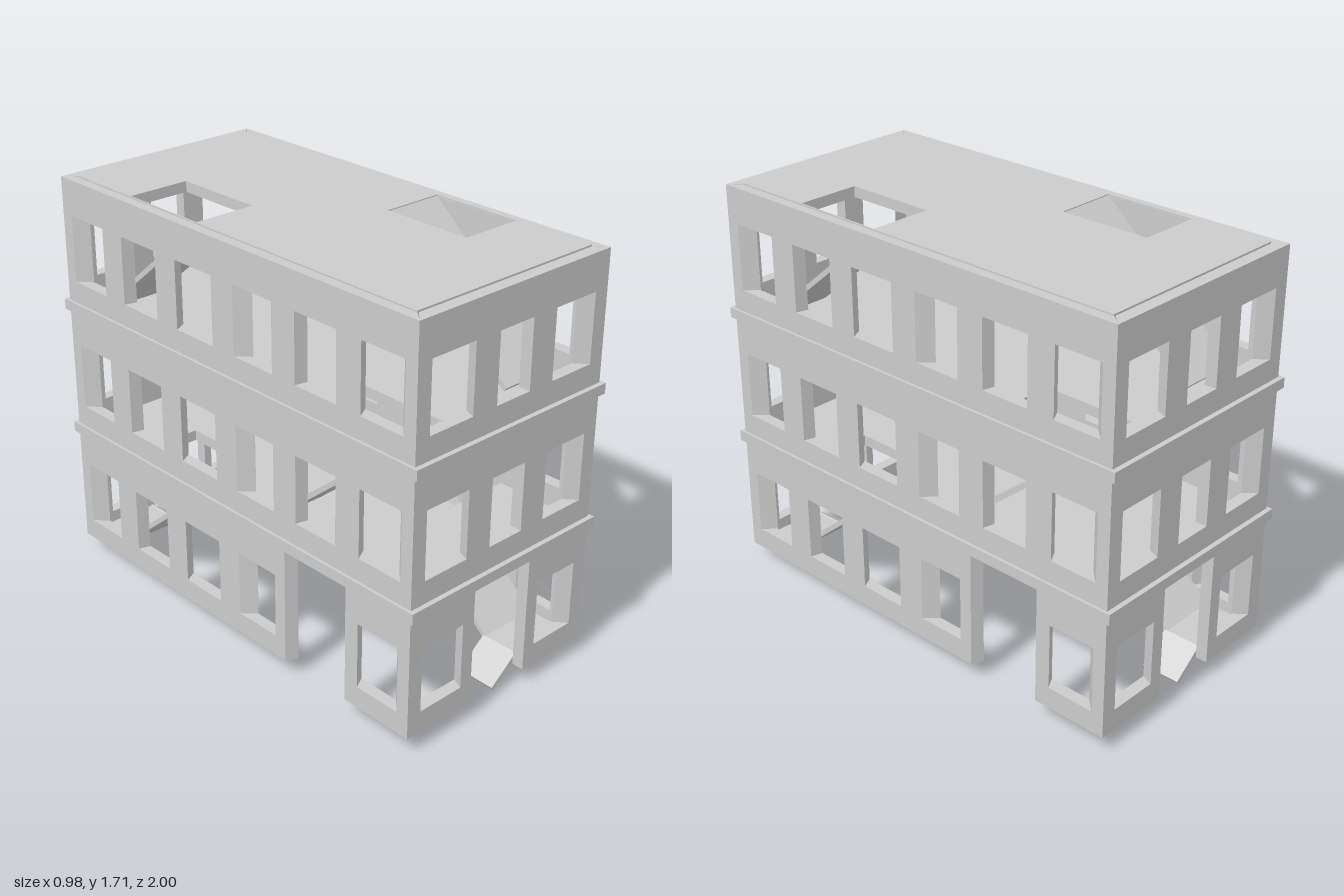
import * as THREE from 'three';

const mat = new THREE.MeshStandardMaterial({ color: 0xcccccc, flatShading: true });
const BASE = 0.07, TOP = 1.7, THICK = 0.05;
const STOREY_WINDOWS = [[0.16, 0.435], [0.71, 0.99], [1.27, 1.55]];

function mesh(name, geometry) {
  const m = new THREE.Mesh(geometry, mat);
  m.name = name;
  return m;
}

function rectPath(x0, x1, y0, y1, Type = THREE.Path) {
  return new Type([[x0, y0], [x1, y0], [x1, y1], [x0, y1]].map(p => new THREE.Vector2(...p)));
}

// Wall with a doorway notch, window holes and splayed reveals; outer face on z = 0
function wall(name, halfWidth, door, columns, splay) {
  const pts = [[-halfWidth, BASE], [door[0], BASE], [door[0], 0.57], [door[1], 0.57],
    [door[1], BASE], [halfWidth, BASE], [halfWidth, TOP], [-halfWidth, TOP]];
  const shape = new THREE.Shape(pts.map(p => new THREE.Vector2(...p)));
  STOREY_WINDOWS.forEach(([y0, y1], storey) => {
    for (const [x0, x1] of columns) {
      const atDoor = x0 < door[1] && x1 > door[0];
      if (storey > 0 || !atDoor) shape.holes.push(rectPath(x0, x1, y0, y1));
    }
  });
  const geo = new THREE.ExtrudeGeometry(shape, { depth: THICK, bevelEnabled: false });
  geo.translate(0, 0, -THICK);
  const pos = geo.attributes.position;
  for (let i = 0; i < pos.count; i++) {
    if (pos.getZ(i) < -THICK / 2) pos.setX(i, splay(pos.getX(i)));
  }
  geo.computeVertexNormals();
  return mesh(name, geo);
}

// Horizontal slab with a stair opening on each side, mirrored by a half turn
function slab(name, hx, hz, y0, y1, [x0, x1, z0, z1]) {
  const shape = rectPath(-hx, hx, -hz, hz, THREE.Shape);
  shape.holes.push(rectPath(x0, x1, -z1, -z0), rectPath(-x1, -x0, z0, z1));
  const geo = new THREE.ExtrudeGeometry(shape, { depth: y1 - y0, bevelEnabled: false });
  geo.rotateX(-Math.PI / 2).translate(0, y0, 0);
  return mesh(name, geo);
}

// Sloping stair flight along z
function flight(name, z0, y0, z1, y1) {
  const m = mesh(name, new THREE.BoxGeometry(0.265, 0.02, Math.hypot(z1 - z0, y1 - y0)));
  m.position.set(0.3, (y0 + y1) / 2, (z0 + z1) / 2);
  m.rotation.x = -Math.atan2(y1 - y0, z1 - z0);
  return m;
}

// One end wall, one long wall and one staircase
function buildHalf() {
  const half = new THREE.Group();

  const endWall = wall('endWall', 0.48, [-0.148, 0.148],
    [[-0.415, -0.205], [-0.085, 0.085], [0.205, 0.415]],
    x => Math.abs(x) > 0.17 ? x * 0.9 : x);
  endWall.position.z = 0.98;

  const columns = [];
  for (const [a, b] of [[0.06, 0.27], [0.39, 0.6], [0.72, 0.925]]) columns.push([a, b], [-b, -a]);
  const sideWall = wall('sideWall', 0.98, [0.325, 0.655], columns, x => {
    const c = Math.sign(x) * 0.49;
    return c + (x - c) * 0.88;
  });
  sideWall.rotation.y = Math.PI / 2;
  sideWall.position.x = 0.48;

  // Entry ramp turns onto a small landing, then three flights climb to the roof
  const entry = mesh('entryRamp', new THREE.BoxGeometry(0.165, 0.02, 0.165));
  entry.position.set(0.104, 0.056, 0.848);
  entry.rotation.z = Math.atan2(0.09, 0.115);
  const landing = mesh('stairLanding', new THREE.BoxGeometry(0.265, 0.02, 0.165));
  landing.position.set(0.3, 0.1, 0.848);

  half.add(endWall, sideWall, entry, landing,
    flight('groundFlight', 0.77, 0.1, 0.19, 0.585),
    flight('middleFlight', -0.18, 0.625, -0.81, 1.145),
    flight('topFlight', 0.8, 1.185, 0.185, 1.695));
  return half;
}

export function createModel() {
  const model = new THREE.Group();
  model.name = 'building';

  for (const turn of [0, Math.PI]) {
    const half = buildHalf();
    half.name = turn ? 'backHalf' : 'frontHalf';
    half.rotation.y = turn;
    model.add(half);
  }

  // Floors project slightly as bands around the outside
  model.add(
    slab('firstFloor', 0.492, 1, 0.572, 0.617, [0.167, 0.432, 0.19, 0.585]),
    slab('secondFloor', 0.492, 1, 1.135, 1.178, [0.167, 0.432, -0.81, -0.415]),
    slab('roof', 0.438, 0.928, 1.662, 1.706, [0.167, 0.432, 0.19, 0.585]));
  return model;
}
